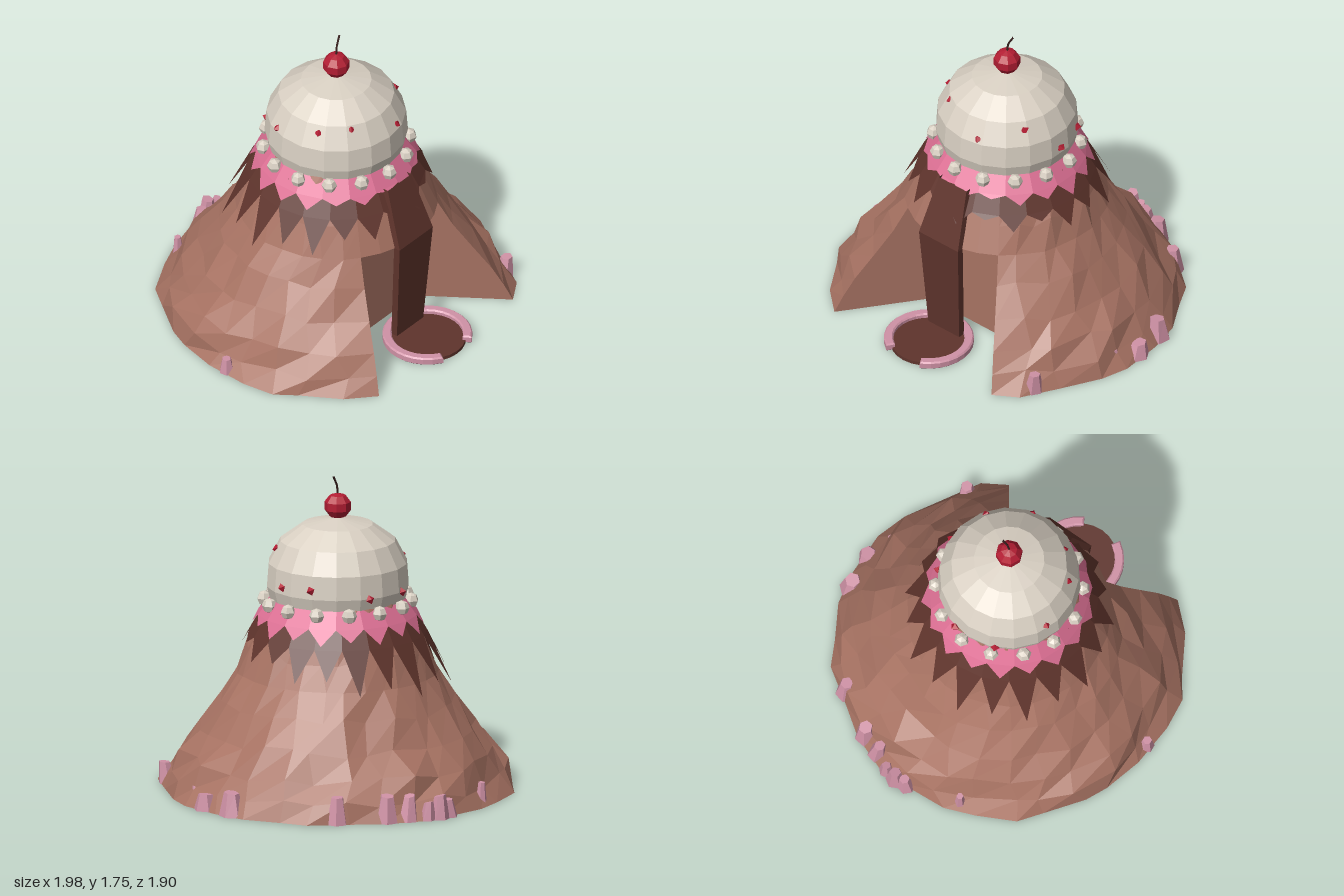
import * as THREE from 'three';

const CX = -0.015, CZ = 0.07; // vertical axis of the mountain
const rad = THREE.MathUtils.degToRad;

let seed = 7;
const rand = () => {
  seed = (seed * 16807) % 2147483647;
  return seed / 2147483647;
};
const mat = (name, color, side = THREE.FrontSide) => {
  const m = new THREE.MeshStandardMaterial({ color, side });
  m.name = name;
  return m;
};

// Point on a ring around the axis; angle 0 is the front, 90 is +x
const polar = (deg, r, y) => [CX + r * Math.sin(rad(deg)), y, CZ + r * Math.cos(rad(deg))];

// Collects triangles and quads into a faceted geometry
class Faces {
  constructor() { this.p = []; }
  tri(a, b, c) { this.p.push(...a, ...b, ...c); }
  quad(a, b, c, d) { this.tri(a, b, c); this.tri(a, c, d); }
  build() {
    const g = new THREE.BufferGeometry();
    g.setAttribute('position', new THREE.Float32BufferAttribute(this.p, 3));
    g.computeVertexNormals();
    return g;
  }
}
const facet = (g) => {
  const f = g.index ? g.toNonIndexed() : g;
  f.computeVertexNormals();
  return f;
};

// Rough cone with a wedge cut from the front below the ledge
function mountainGeometry() {
  const rows = [[0, 0.975], [0.1, 0.925], [0.21, 0.86], [0.35, 0.755], [0.5, 0.645],
    [0.65, 0.56], [0.8, 0.495], [0.95, 0.43], [1.06, 0.37]];
  const ledge = 5, inner = 0.435, steps = 24;
  const angles = [];
  for (let i = 0; i <= steps; i++) angles.push(36 + i * 12);
  const back = angles.length;
  angles.push(336, 348, 360, 372, 384);
  const pts = rows.map(([y, r], j) => angles.map((a, i) => {
    const edge = i === 0 || i >= back - 1;
    const da = edge ? 0 : (rand() - 0.5) * 6;
    const dr = edge ? 1 : 1 + (rand() - 0.5) * (j < ledge ? 0.055 : 0.03);
    const dy = j === 0 || j === ledge || edge ? 0 : (rand() - 0.5) * 0.05;
    return polar(a + da, r * dr, y + dy);
  }));
  const f = new Faces();
  const n = angles.length;
  for (let j = 0; j < rows.length - 1; j++) {
    const count = j < ledge ? back - 1 : n;
    for (let i = 0; i < count; i++) {
      const k = (i + 1) % n;
      f.quad(pts[j][i], pts[j][k], pts[j + 1][k], pts[j + 1][i]);
    }
  }
  // Side walls of the wedge and the flat wall at its end
  const inR = (y) => polar(36, inner, y), inL = (y) => polar(324, inner, y);
  for (let j = 0; j < ledge; j++) {
    const y0 = rows[j][0], y1 = rows[j + 1][0], e = back - 1;
    f.quad(inR(y0), pts[j][0], pts[j + 1][0], inR(y1));
    f.quad(pts[j][e], inL(y0), inL(y1), pts[j + 1][e]);
  }
  const top = rows[ledge][0];
  f.quad(inL(0), inR(0), inR(top), inL(top));
  // Floor and the underside of the ledge
  const c0 = [CX, 0, CZ], c1 = [CX, top, CZ];
  for (let i = 0; i < back - 1; i++) f.tri(c0, pts[0][i + 1], pts[0][i]);
  f.tri(c0, inR(0), inL(0));
  for (let i = back - 1; i < n; i++) f.tri(c1, pts[ledge][(i + 1) % n], pts[ledge][i]);
  return f.build();
}

// Icing skirt with a zigzag hem; hem(angle, i) returns the tip as [radius, y]
function skirtGeometry(n, top, valley, hem) {
  const f = new Faces(), step = 360 / n;
  for (let i = 0; i < n; i++) {
    const a = i * step, b = a + step, m = a + step / 2;
    const va = polar(a, ...valley), vb = polar(b, ...valley);
    f.quad(va, vb, polar(b, ...top), polar(a, ...top));
    f.tri(va, polar(m, ...hem(m, i)), vb);
  }
  return f.build();
}

// Ribbon running over the ledge and straight down; rows are [y, z, half width]
function flowGeometry() {
  const rows = [[0.01, 0.6, 0.112], [0.65, 0.645, 0.142], [0.98, 0.525, 0.1]];
  const ring = ([y, z, w]) => [[CX - w, y, z], [CX + w, y, z], [CX + w, y, z - 0.04], [CX - w, y, z - 0.04]];
  const f = new Faces();
  for (let j = 0; j < 2; j++) {
    const a = ring(rows[j]), b = ring(rows[j + 1]);
    for (let i = 0; i < 4; i++) f.quad(a[i], a[(i + 1) % 4], b[(i + 1) % 4], b[i]);
  }
  return f.build();
}

// Irregular tapered crystal standing on y = 0
function rockGeometry(w, h) {
  const g = new THREE.CylinderGeometry(w * 0.32, w * 0.56, h, 6, 1);
  g.translate(0, h / 2, 0);
  const p = g.attributes.position;
  const lean = (rand() - 0.5) * 0.4, tilt = (rand() - 0.5) * 0.5;
  for (let i = 0; i < p.count; i++) {
    const x = p.getX(i), y = p.getY(i);
    p.setX(i, x + y * lean);
    if (y > 0.01) p.setY(i, y + x * tilt);
  }
  return facet(g);
}

export function createModel() {
  const root = new THREE.Group();
  root.name = 'dessertMountain';
  const earth = mat('cake brown', 0xa87363);
  const choc = mat('chocolate', 0x5f342c, THREE.DoubleSide);
  const pink = mat('pink icing', 0xdd7094, THREE.DoubleSide);
  const cream = mat('cream', 0xd9d0c3);
  const red = mat('cherry red', 0xb31d33);
  const rose = mat('rose crystal', 0xd092a6);
  const dark = mat('stem brown', 0x38201e);
  const add = (name, geo, m, x = 0, y = 0, z = 0, parent = root) => {
    const mesh = new THREE.Mesh(geo, m);
    mesh.name = name;
    mesh.position.set(x, y, z);
    parent.add(mesh);
    return mesh;
  };
  const group = (name) => {
    const g = new THREE.Group();
    g.name = name;
    root.add(g);
    return g;
  };

  add('mountain', mountainGeometry(), earth);

  // Icing layers, shorter towards the front
  add('chocolateIcing', skirtGeometry(20, [0.405, 1.02], [0.492, 0.87], (a, i) => {
    const y = 0.715 + 0.09 * Math.cos(rad(a)) + 0.05 * Math.sin(rad(a)) + (i % 2 ? 0.025 : -0.025);
    return [0.492 + (0.87 - y) * 0.5, y];
  }), choc);
  add('pinkIcing', skirtGeometry(18, [0.375, 1.07], [0.443, 0.975], (a, i) => {
    const y = 0.9 + 0.05 * Math.max(0, Math.cos(rad(a))) + (i % 2 ? 0.01 : -0.01);
    return [0.443 + (0.975 - y) * 0.5, y];
  }), pink);
  add('chocolateFlow', flowGeometry(), choc);

  // Cream dome
  const profile = [[0, 1.03], [0.37, 1.035], [0.395, 1.13], [0.385, 1.26], [0.32, 1.385], [0.195, 1.475], [0, 1.51]]
    .map(([r, y]) => new THREE.Vector2(r, y));
  add('creamDome', facet(new THREE.LatheGeometry(profile, 18)), cream, CX, 0, CZ);

  // Cream dollops around the rim
  const dollops = group('creamDollops');
  for (let i = 0; i < 14; i++) {
    const a = -4 + i * 360 / 14;
    const d = add('dollop', facet(new THREE.SphereGeometry(0.043, 6, 4)), cream, ...polar(a, 0.405, 1.045), dollops);
    d.rotation.y = rad(a);
  }

  // Candy pieces on the dome
  const candies = group('candyPieces');
  [[-0.2, 1.36, 0.33], [0.08, 1.28, 0.42], [0.27, 1.34, 0.25], [0.38, 1.17, 0.07], [-0.32, 1.34, 0.2],
    [0.33, 1.18, -0.12], [0.07, 1.13, -0.32], [-0.18, 1.13, -0.29], [-0.36, 1.27, -0.06]].forEach(([x, y, z]) => {
    const c = add('candy', facet(new THREE.OctahedronGeometry(0.026)), red, x, y, z, candies);
    c.rotation.set(0.3, Math.atan2(x - CX, z - CZ), 0.2);
  });

  // Cherry with bent stem
  add('cherry', facet(new THREE.SphereGeometry(0.077, 8, 5)), red, CX, 1.575, CZ).scale.y = 0.95;
  const stem = new THREE.CatmullRomCurve3([[-0.015, 1.63, 0.07], [-0.008, 1.69, 0.068], [0.025, 1.75, 0.06]]
    .map((p) => new THREE.Vector3(...p)));
  add('cherryStem', facet(new THREE.TubeGeometry(stem, 4, 0.006, 5)), dark);

  // Pool with an open rim
  add('pool', facet(new THREE.CylinderGeometry(0.205, 0.205, 0.02, 24)), choc, CX, 0.01, 0.735);
  const ring = new THREE.Shape();
  ring.absarc(0, 0, 0.24, rad(-59), rad(239), false);
  ring.absarc(0, 0, 0.205, rad(239), rad(-59), true);
  const rim = new THREE.ExtrudeGeometry(ring, {
    depth: 0.03, curveSegments: 12, bevelEnabled: true, bevelThickness: 0.008, bevelSize: 0.008, bevelSegments: 1,
  });
  rim.rotateX(-Math.PI / 2);
  add('poolRim', facet(rim), rose, CX, 0.008, 0.725);

  // Crystals around the foot: x, z, width, height
  const rocks = group('crystals');
  [[-0.02, -0.9, 0.09, 0.1], [0.05, -0.905, 0.1, 0.13], [0.12, -0.89, 0.08, 0.1], [0.22, -0.84, 0.1, 0.14],
    [0.33, -0.79, 0.12, 0.15], [0.57, -0.65, 0.11, 0.15], [0.9, -0.14, 0.13, 0.13], [0.92, 0.06, 0.13, 0.09],
    [0.87, 0.2, 0.09, 0.1], [0.7, 0.67, 0.1, 0.12], [-0.95, 0.07, 0.08, 0.09], [-0.32, -0.81, 0.06, 0.13],
  ].forEach(([x, z, w, h]) => {
    add('crystal', rockGeometry(w, h), rose, x, 0, z, rocks).rotation.y = rand() * 6;
  });
  return root;
}
